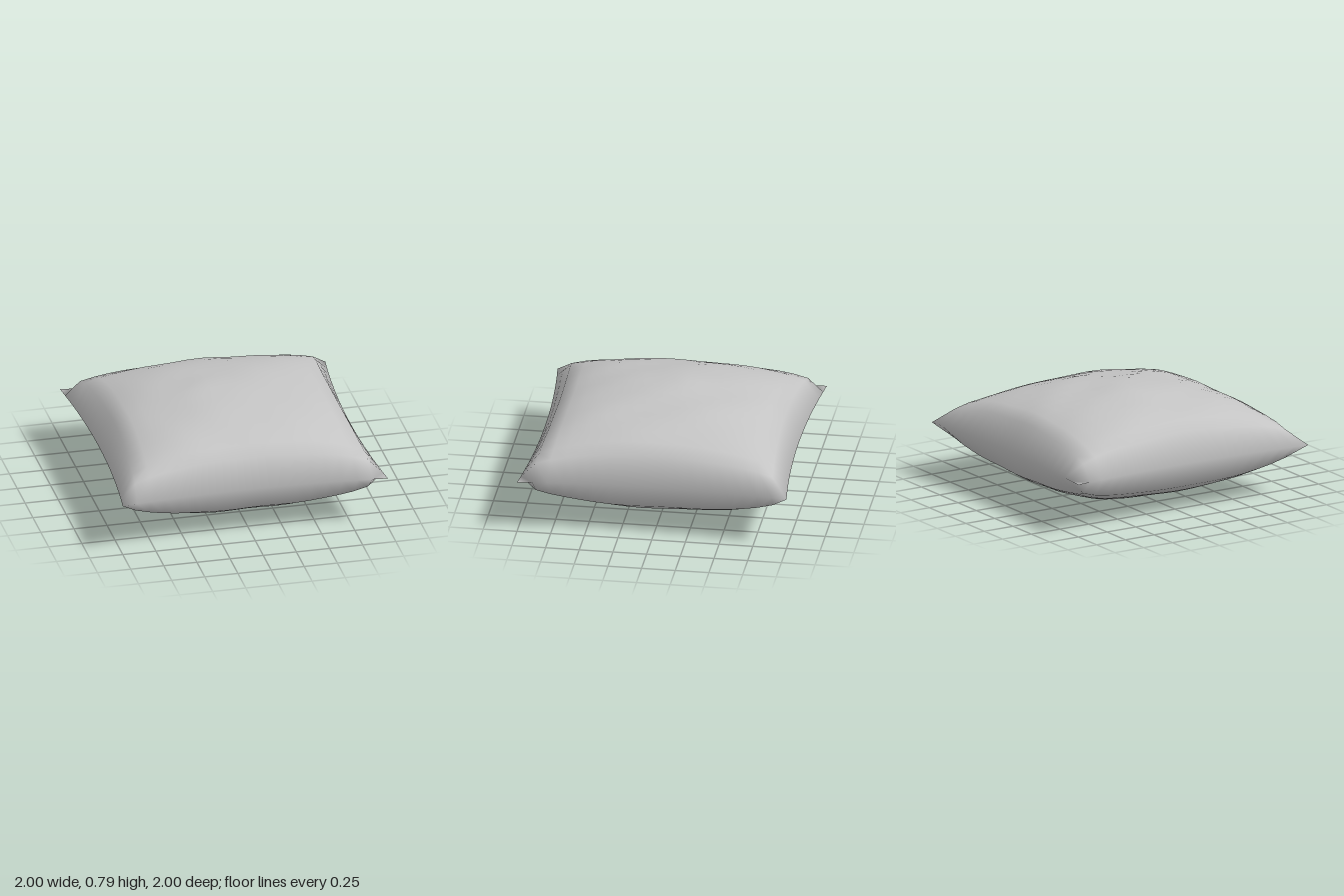
import * as THREE from 'three';
import { mergeGeometries, mergeVertices } from 'three/addons/utils/BufferGeometryUtils.js';

const SEGMENTS = 18;
const SEAM_HEIGHT = 0.44;
const PINCH = 0.057;
const LOFT = 0.383;

// Rounded falloff from the middle (1) to the seam (0)
const falloff = (t) => Math.pow(Math.max(0, 1 - t * t), 0.4);

// Gentle unevenness of the stuffing
const lumps = (u, v, side) =>
  0.007 * Math.sin(7 * u + 2 * side) * Math.cos(6 * v - side) +
  0.005 * Math.sin(13 * u - 9 * v + side) +
  0.02 * Math.exp(-((u + 0.2) ** 2 + (v + 0.06) ** 2) / 0.02);

// One half of the cushion: side = 1 is the top, side = -1 the underside
function panel(side) {
  const geo = new THREE.PlaneGeometry(2, 2, SEGMENTS, SEGMENTS);
  geo.deleteAttribute('uv');
  geo.deleteAttribute('normal');
  const pos = geo.attributes.position;
  for (let i = 0; i < pos.count; i++) {
    const u = pos.getX(i);
    const v = -pos.getY(i);
    const puff = falloff(u) * falloff(v);
    pos.setXYZ(
      i,
      u * (1 - PINCH * (1 - v * v)),
      SEAM_HEIGHT + side * puff * (LOFT + lumps(u, v, side)),
      v * (1 - PINCH * (1 - u * u))
    );
  }
  if (side < 0) geo.index.array.reverse();
  return geo;
}

export function createModel() {
  const group = new THREE.Group();
  group.name = 'cushion';

  const fabric = new THREE.MeshStandardMaterial({ color: 0xc4c4c4 });
  fabric.name = 'light grey fabric';

  // Both halves welded along the seam so the shading rolls over the edge
  const geo = mergeVertices(mergeGeometries([panel(1), panel(-1)]), 1e-4);
  geo.computeVertexNormals();

  const cover = new THREE.Mesh(geo, fabric);
  cover.name = 'cushionCover';
  group.add(cover);
  return group;
}
